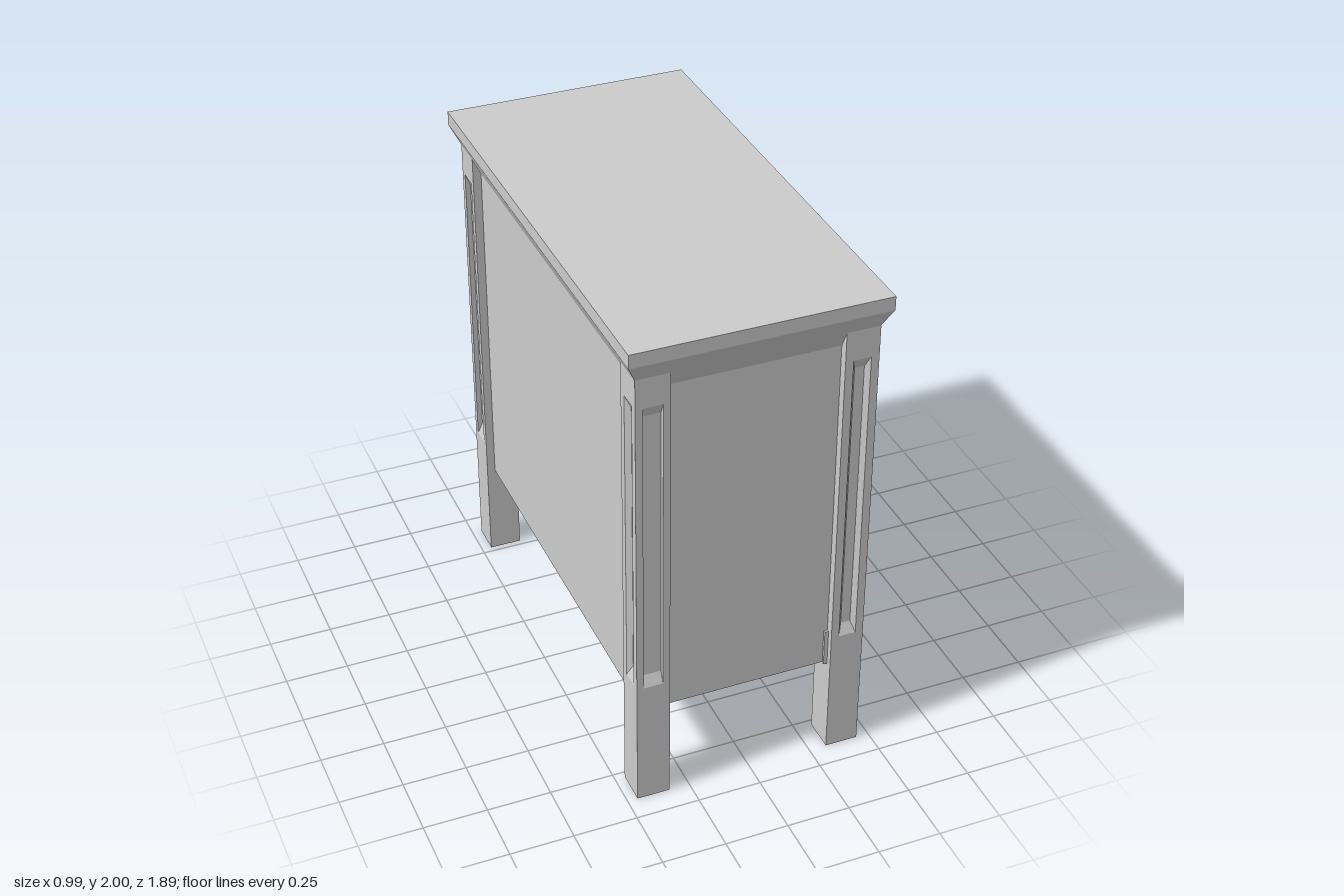
import * as THREE from 'three';
import { mergeGeometries } from 'three/addons/utils/BufferGeometryUtils.js';

const grey = new THREE.MeshStandardMaterial({ color: 0xcccccc, flatShading: true });
const bronze = new THREE.MeshStandardMaterial({ color: 0x7a4a38 });

// Skin through rectangles [x0, x1, y0, y1, z] stacked along z; the last one is capped.
function loftRects(rings) {
  const corners = ([x0, x1, y0, y1, z]) => [[x0, y0, z], [x1, y0, z], [x1, y1, z], [x0, y1, z]];
  const pos = [];
  const quad = (a, b, c, d) => pos.push(...a, ...b, ...c, ...a, ...c, ...d);
  const loops = rings.map(corners);
  for (let r = 0; r + 1 < loops.length; r++) {
    for (let i = 0; i < 4; i++) {
      const j = (i + 1) % 4;
      quad(loops[r][i], loops[r][j], loops[r + 1][j], loops[r + 1][i]);
    }
  }
  quad(...loops[loops.length - 1]);
  const g = new THREE.BufferGeometry();
  g.setAttribute('position', new THREE.Float32BufferAttribute(pos, 3));
  g.computeVertexNormals();
  return g;
}

function add(parent, name, geometry, material = grey) {
  const mesh = new THREE.Mesh(geometry, material);
  mesh.name = name;
  parent.add(mesh);
  return mesh;
}

function box(parent, name, x0, x1, y0, y1, z0, z1) {
  add(parent, name, new THREE.BoxGeometry(x1 - x0, y1 - y0, z1 - z0))
    .position.set((x0 + x1) / 2, (y0 + y1) / 2, (z0 + z1) / 2);
}

// Square leg with sunk panels on its two outer faces (+z and +x)
function legGeometry() {
  const h = 0.065, top = 1.87, depth = 0.02;
  const plain = [-h, h, 0, top, h];
  const sunk = (outer, inner) => loftRects([
    plain,
    [-outer, outer, 0.53, 1.75, h],
    [-inner, inner, 0.575, 1.705, h - depth],
  ]);
  return mergeGeometries([
    sunk(0.034, 0.019),
    sunk(0.0375, 0.0375).rotateY(Math.PI / 2),
    loftRects([plain]).rotateY(Math.PI),
    loftRects([plain]).rotateY(-Math.PI / 2),
    loftRects([[-h, h, -h, h, 0]]).rotateX(Math.PI / 2),
  ]);
}

// Drawer front with stepped moulding and sunk centre panel, facing +x
function drawerGeometry() {
  const steps = [[0, 0.41], [0, 0.448], [0.015, 0.46], [0.056, 0.46], [0.06, 0.478],
    [0.083, 0.478], [0.088, 0.468], [0.102, 0.435]];
  return loftRects(steps.map(([inset, x]) =>
    [-0.737 + inset, 0.737 - inset, -0.27 + inset, 0.27 - inset, x])).rotateY(Math.PI / 2);
}

// Turned handle along z, bent into a bow
function handleGeometry() {
  const half = [[0.22, 0.001], [0.2, 0.008], [0.165, 0.018], [0.152, 0.026], [0.143, 0.026],
    [0.138, 0.016], [0.1, 0.019], [0.05, 0.022]];
  const points = [
    ...half.map(([z, r]) => new THREE.Vector2(r, -z)),
    new THREE.Vector2(0.023, 0),
    ...half.slice().reverse().map(([z, r]) => new THREE.Vector2(r, z)),
  ];
  const g = new THREE.LatheGeometry(points, 20).rotateX(Math.PI / 2);
  const p = g.attributes.position;
  for (let i = 0; i < p.count; i++) {
    const z = p.getZ(i);
    p.setX(i, p.getX(i) * 0.85 + 0.475 - 0.9 * z * z);
  }
  g.computeVertexNormals();
  return g;
}

export function createModel() {
  const model = new THREE.Group();
  model.name = 'nightstand';

  // Cabinet body and lower rail
  box(model, 'cabinet', -0.427, 0.417, 0.395, 1.82, -0.87, 0.87);
  box(model, 'apron', 0.305, 0.435, 0.39, 0.545, -0.88, 0.88);

  // Top slab flaring out from the cabinet
  add(model, 'top', loftRects([
    [-0.427, 0.415, -0.87, 0.87, 1.8],
    [-0.497, 0.48, -0.943, 0.943, 1.945],
    [-0.497, 0.48, -0.943, 0.943, 2],
  ]).rotateX(-Math.PI / 2));

  // Each leg is a quarter turn from the last
  const leg = legGeometry();
  [[0.385, 0.84], [0.385, -0.84], [-0.395, -0.84], [-0.395, 0.84]].forEach(([x, z], i) => {
    const mesh = add(model, 'leg', leg);
    mesh.position.set(x, 0, z);
    mesh.rotation.y = i * Math.PI / 2;
  });

  // Two drawers with handles
  const front = drawerGeometry(), handle = handleGeometry();
  for (const y of [0.866, 1.465]) {
    const drawer = new THREE.Group();
    drawer.name = 'drawer';
    drawer.position.y = y;
    add(drawer, 'drawerFront', front);
    add(drawer, 'handle', handle, bronze).position.y = -0.01;
    model.add(drawer);
  }
  return model;
}
